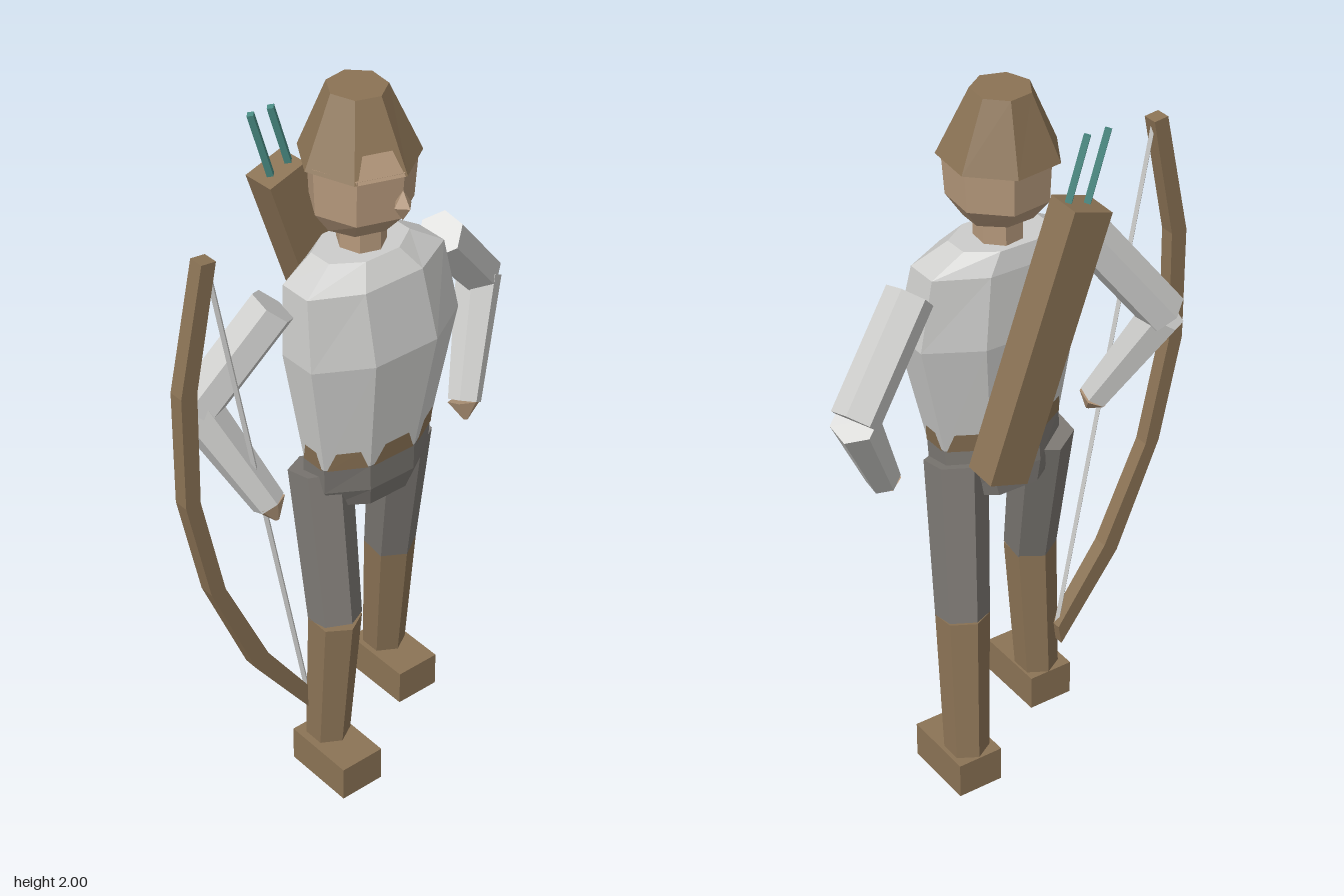
import * as THREE from 'three';

const YAW = 0.35; // the figure stands turned towards its left
const mat = (name, color) => {
  const m = new THREE.MeshStandardMaterial({ color, flatShading: true });
  m.name = name;
  return m;
};

// Corner points of one oval ring [x, y, z, halfWidth, halfDepth]; face 0 looks forward
function ringPoints([x, y, z, a, b], sides, yaw) {
  const k = 1 / Math.cos(Math.PI / sides), c = Math.cos(yaw), s = Math.sin(yaw);
  return Array.from({ length: sides }, (_, i) => {
    const t = (i - 0.5) * 2 * Math.PI / sides;
    const px = a * k * Math.sin(t), pz = b * k * Math.cos(t);
    return new THREE.Vector3(x + px * c + pz * s, y, z - px * s + pz * c);
  });
}

function fromTriangles(points) {
  const g = new THREE.BufferGeometry().setFromPoints(points);
  g.computeVertexNormals();
  return g;
}

// Closed faceted solid through a stack of rings, bottom to top
function loft(rings, sides, yaw) {
  const R = rings.map(r => ringPoints(r, sides, yaw)), tri = [];
  const mid = r => new THREE.Vector3(r[0], r[1], r[2]);
  const top = R.length - 1;
  for (let i = 0; i < sides; i++) {
    const j = (i + 1) % sides;
    for (let k = 0; k < top; k++) {
      tri.push(R[k][i], R[k][j], R[k + 1][j], R[k][i], R[k + 1][j], R[k + 1][i]);
    }
    tri.push(mid(rings[0]), R[0][j], R[0][i], mid(rings[top]), R[top][i], R[top][j]);
  }
  return fromTriangles(tri);
}

// Thin four-cornered patch lying on one face between two rings; corners are [across, up]
function patch(r0, r1, sides, yaw, face, corners) {
  const A = ringPoints(r0, sides, yaw), B = ringPoints(r1, sides, yaw), j = (face + 1) % sides;
  const p = corners.map(([u, t]) =>
    A[face].clone().lerp(A[j], u).lerp(B[face].clone().lerp(B[j], u), t));
  const n = p[1].clone().sub(p[0]).cross(p[2].clone().sub(p[0])).setLength(0.004);
  p.forEach(v => v.add(n));
  return fromTriangles([p[0], p[1], p[2], p[0], p[2], p[3]]);
}

export function createModel() {
  const group = new THREE.Group();
  const leather = mat('brown leather', 0x8b7355);
  const cloth = mat('pale grey cloth', 0xcdcdcb);
  const trousers = mat('dark grey cloth', 0x7b7772);
  const skin = mat('skin', 0xb6997c);
  const teal = mat('teal feather', 0x498a82);

  const add = (name, geometry, material) => {
    const m = new THREE.Mesh(geometry, material);
    m.name = name;
    group.add(m);
    return m;
  };
  // Tapered prism from point a to point b
  const limb = (name, a, b, ra, rb, material, sides = 6) => {
    const A = new THREE.Vector3(...a), B = new THREE.Vector3(...b);
    const d = B.clone().sub(A);
    const m = add(name, new THREE.CylinderGeometry(rb, ra, d.length(), sides), material);
    m.position.copy(A).add(B).multiplyScalar(0.5);
    const up = d.y < 0 ? -1 : 1;
    m.quaternion.setFromUnitVectors(new THREE.Vector3(0, up, 0), d.clone().normalize());
    if (up < 0) m.geometry.rotateX(Math.PI);
    m.geometry.rotateY(YAW);
  };

  // Torso with a ragged hem
  const waist = [0.047, 1.0, 0.037, 0.18, 0.1], chest = [0.058, 1.33, 0.03, 0.243, 0.138];
  add('shirt', loft([waist, chest, [0.042, 1.53, 0.02, 0.222, 0.115],
    [0.037, 1.585, 0.005, 0.13, 0.085]], 8, YAW), cloth);
  for (let i = 0; i < 8; i++) {
    add('hemTatter', patch(waist, chest, 8, YAW, i,
      [[0.05, 0], [0.95, 0], [0.78, 0.17], [0.28, 0.17]]), leather);
  }
  add('hips', loft([[0.042, 0.86, 0.02, 0.145, 0.1], [0.046, 0.92, 0.028, 0.176, 0.106],
    [0.047, 1.0, 0.036, 0.18, 0.1]], 8, YAW), trousers);

  // Head and hat
  const headYaw = 0.03;
  add('neck', loft([[0.04, 1.56, 0, 0.058, 0.062], [0.04, 1.66, 0, 0.058, 0.062]], 7, headYaw), skin);
  add('head', loft([[0.037, 1.64, 0, 0.083, 0.068], [0.038, 1.7, 0, 0.121, 0.12],
    [0.04, 1.83, 0, 0.128, 0.127]], 7, headYaw), skin);
  const brim = [0.04, 1.82, -0.018, 0.143, 0.145], crown = [0.04, 2.0, -0.033, 0.07, 0.074];
  add('hat', loft([brim, crown], 7, headYaw), leather);
  add('forehead', patch(brim, crown, 7, headYaw, 0,
    [[0.05, 0], [0.95, 0], [0.84, 0.34], [0.16, 0.34]]), skin);
  const nose = add('nose', new THREE.OctahedronGeometry(0.027), skin);
  nose.scale.y = 1.55;
  nose.rotation.y = YAW;
  nose.position.set(0.092, 1.757, 0.15);

  // Arms: shoulder, elbow, wrist, fingertip
  const arms = {
    right: [[-0.22, 1.497, 0.085], [-0.425, 1.24, 0.082], [-0.267, 0.96, 0.163], [-0.25, 0.912, 0.18]],
    left: [[0.288, 1.495, -0.093], [0.465, 1.25, -0.245], [0.368, 0.96, -0.085], [0.365, 0.912, -0.065]],
  };
  for (const [side, [shoulder, elbow, wrist, tip]] of Object.entries(arms)) {
    limb(side + 'UpperArm', shoulder, elbow, 0.064, 0.064, cloth);
    limb(side + 'Forearm', elbow, wrist, 0.063, 0.046, cloth);
    limb(side + 'Hand', wrist, tip, 0.046, 0.006, skin);
  }

  // Legs: hip, knee, ankle, foot centre
  const legs = {
    right: [[-0.088, 0.95, 0.045], [-0.083, 0.52, 0.147], [-0.1, 0.09, 0.133], [-0.09, 0.18]],
    left: [[0.163, 0.95, -0.028], [0.173, 0.515, -0.121], [0.179, 0.09, -0.178], [0.192, -0.135]],
  };
  for (const [side, [hip, knee, ankle, [fx, fz]]] of Object.entries(legs)) {
    limb(side + 'Thigh', hip, knee, 0.085, 0.073, trousers);
    limb(side + 'Shin', knee, ankle, 0.073, 0.061, leather);
    const foot = add(side + 'Foot', new THREE.BoxGeometry(0.134, 0.105, 0.217), leather);
    foot.position.set(fx, 0.0525, fz);
    foot.rotation.y = YAW;
  }

  // Bow: outline down the outer edge and back up the inner edge
  const outer = [[-0.455, 1.75], [-0.525, 1.4], [-0.525, 1.07], [-0.462, 0.76], [-0.335, 0.44], [-0.16, 0.19]];
  const inner = [[-0.15, 0.25], [-0.295, 0.47], [-0.42, 0.76], [-0.483, 1.07], [-0.48, 1.4], [-0.415, 1.745]];
  const c = Math.cos(YAW);
  const outline = new THREE.Shape([...outer, ...inner].map(([x, y]) => new THREE.Vector2((x + 0.5) / c, y)));
  const bowShape = new THREE.ExtrudeGeometry(outline, { depth: 0.043, bevelEnabled: false });
  bowShape.translate(0, 0, -0.0215);
  const bow = add('bow', bowShape, leather);
  bow.position.set(-0.493, 0, 0.232);
  bow.rotation.y = YAW;
  limb('bowstring', [-0.42, 1.73, 0.206], [-0.152, 0.25, 0.11], 0.008, 0.008, cloth, 4);

  // Quiver slung across the back, with two arrows
  const top = new THREE.Vector3(-0.127, 1.73, -0.163), base = new THREE.Vector3(0.098, 1.01, -0.217);
  const quiver = add('quiver', new THREE.BoxGeometry(0.118, top.distanceTo(base), 0.1), leather);
  quiver.position.copy(top).add(base).multiplyScalar(0.5);
  quiver.geometry.rotateY(YAW);
  quiver.quaternion.setFromUnitVectors(new THREE.Vector3(0, 1, 0), top.clone().sub(base).normalize());
  for (const [dx, dz] of [[0, 0], [0.058, -0.02]]) {
    limb('arrow', [-0.135 + dx, 1.69, -0.152 + dz], [-0.197 + dx, 1.91, -0.137 + dz], 0.012, 0.012, teal, 4);
  }

  return group;
}
